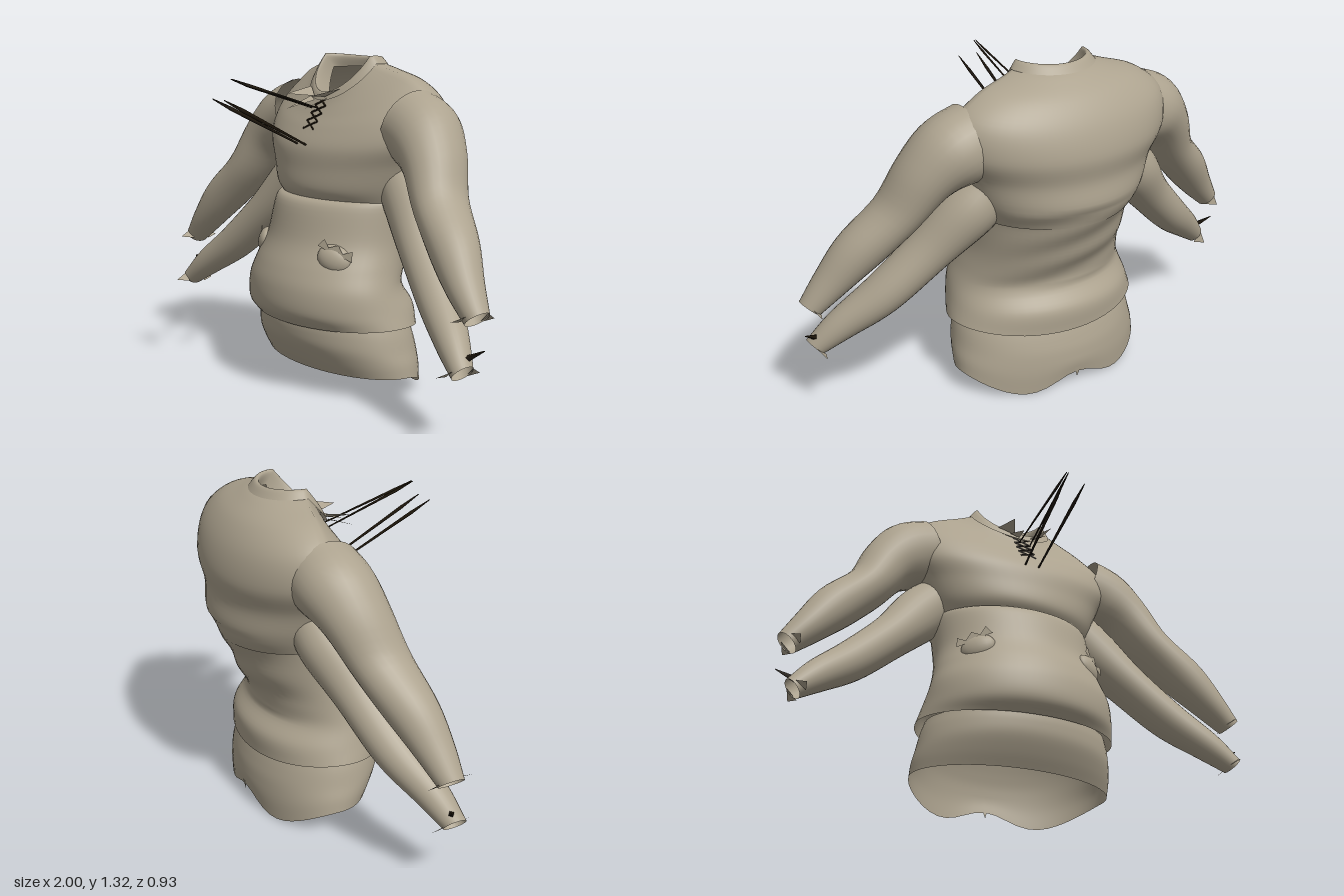
import * as THREE from 'three';

const cloth = new THREE.MeshStandardMaterial({ color: 0xada38f, side: THREE.DoubleSide });
cloth.name = 'tan cloth';
const cord = new THREE.MeshStandardMaterial({ color: 0x1e160a });
cord.name = 'dark cord';

// Smoothly resample rows of up to six numbers
function resample(rows, steps) {
  const curve = (o) => new THREE.CatmullRomCurve3(
    rows.map((r) => new THREE.Vector3(r[o], r[o + 1], r[o + 2] ?? 0)), false, 'catmullrom', 0.5);
  const a = curve(0), b = curve(3), out = [];
  for (let i = 0; i <= steps; i++) {
    const p = a.getPoint(i / steps), q = b.getPoint(i / steps);
    out.push([p.x, p.y, p.z, q.x, q.y, q.z]);
  }
  return out;
}

// Open skin through closed rings; point(row, angle, index) returns [x, y, z], cut(p) marks holes
function skin(name, rows, point, segs, cut = () => false) {
  const pts = [], idx = [];
  rows.forEach((row, i) => {
    for (let j = 0; j < segs; j++) pts.push(point(row, (j / segs) * Math.PI * 2, i));
  });
  for (let i = 0; i < rows.length - 1; i++) {
    for (let j = 0; j < segs; j++) {
      const a = i * segs + j, b = i * segs + ((j + 1) % segs), c = a + segs, d = b + segs;
      if (![a, b, c, d].every((k) => cut(pts[k]))) idx.push(a, b, c, b, d, c);
    }
  }
  const g = new THREE.BufferGeometry();
  g.setAttribute('position', new THREE.Float32BufferAttribute(pts.flat(), 3));
  g.setIndex(idx);
  g.computeVertexNormals();
  const m = new THREE.Mesh(g, cloth);
  m.name = name;
  return m;
}

// Body ring: [yFront, ySide, yBack, halfWidth, zFront, zBack]
function bodyPoint([yF, yS, yB, w, zF, zB], a) {
  const s = Math.sin(a), c = Math.cos(a), x = w * c;
  let y = s > 0 ? yS + (yF - yS) * s : yS + (yB - yS) * s * s;
  // soft folds across the lower back, and a lifted middle of the back hem
  const fold = s < 0 && y > 0.42 && y < 0.8 ? 0.006 * Math.sin(y * 42 + c * 3) * s * s : 0;
  if (s < 0) y += 0.09 * Math.max(0, (0.12 - y) / 0.15) * Math.exp(-((x / 0.17) ** 2));
  return [x, y, (zF + zB) / 2 + ((zF - zB) / 2) * s + fold];
}
const body = (name, rows, steps, cut) => skin(name, resample(rows, steps), bodyPoint, 56, cut);

// Armholes where the sleeves join the chest: [y, z, y radius, z radius]
const holes = [[1.03, -0.17, 0.125, 0.12], [0.80, -0.17, 0.08, 0.085]];
const inArmhole = ([x, y, z]) => Math.abs(x) > 0.3 &&
  holes.some(([hy, hz, ry, rz]) => Math.hypot((y - hy) / ry, (z - hz) / rz) < 1);

// Sleeve ring: [x, y, z, radius in the arm's plane, radius in z]
function sleeve(name, rows, side) {
  const R = resample(rows, 28).map((r) => [r[0] * side, ...r.slice(1)]);
  return skin(name, R, (r, a, i) => {
    const p = R[Math.max(i - 1, 0)], q = R[Math.min(i + 1, R.length - 1)];
    const tx = q[0] - p[0], ty = q[1] - p[1], l = Math.hypot(tx, ty);
    const n = Math.cos(a) * r[3];
    return [r[0] - (ty / l) * n, r[1] + (tx / l) * n, r[2] + Math.sin(a) * r[4]];
  }, 28);
}

// Thin four-sided strand between two points
function strand(name, a, b, r0, r1) {
  const A = new THREE.Vector3(...a), B = new THREE.Vector3(...b), d = B.clone().sub(A);
  const m = new THREE.Mesh(new THREE.CylinderGeometry(r1, r0, d.length(), 4), cord);
  m.position.copy(A).add(B).multiplyScalar(0.5);
  m.quaternion.setFromUnitVectors(new THREE.Vector3(0, 1, 0), d.normalize());
  m.name = name;
  return m;
}

// Flat cloth triangle
function flap(name, pts) {
  const g = new THREE.BufferGeometry();
  g.setAttribute('position', new THREE.Float32BufferAttribute(pts.flat(), 3));
  g.computeVertexNormals();
  const m = new THREE.Mesh(g, cloth);
  m.name = name;
  return m;
}

export function createModel() {
  const model = new THREE.Group();
  model.name = 'fourArmedShirt';

  // Chest and shoulders
  model.add(body('chest', [
    [1.15, 1.29, 1.29, 0.15, -0.02, -0.25],
    [1.12, 1.27, 1.26, 0.22, -0.005, -0.31],
    [1.08, 1.23, 1.20, 0.35, 0.02, -0.385],
    [1.03, 1.15, 1.11, 0.45, 0.055, -0.44],
    [0.96, 1.03, 1.00, 0.465, 0.093, -0.465],
    [0.88, 0.92, 0.90, 0.41, 0.105, -0.45],
    [0.80, 0.82, 0.80, 0.37, 0.11, -0.455],
    [0.75, 0.74, 0.72, 0.335, 0.08, -0.415],
  ], 42, inArmhole));

  // Collar: inner lining, rolled rim and outer edge
  model.add(body('collar', [
    [1.10, 1.26, 1.265, 0.14, -0.10, -0.24],
    [1.165, 1.305, 1.30, 0.143, -0.03, -0.243],
    [1.17, 1.315, 1.305, 0.155, -0.015, -0.26],
    [1.14, 1.285, 1.275, 0.18, 0.0, -0.285],
  ], 15));

  // Belly layer with a flared hem
  model.add(body('bellyLayer', [
    [0.77, 0.77, 0.74, 0.335, 0.08, -0.425],
    [0.74, 0.74, 0.70, 0.335, 0.13, -0.405],
    [0.60, 0.60, 0.60, 0.333, 0.172, -0.362],
    [0.50, 0.50, 0.50, 0.352, 0.22, -0.315],
    [0.42, 0.42, 0.42, 0.375, 0.245, -0.295],
    [0.33, 0.34, 0.34, 0.395, 0.245, -0.345],
    [0.275, 0.28, 0.245, 0.412, 0.20, -0.345],
  ], 36));

  // Lower skirt of the shirt
  model.add(body('lowerSkirt', [
    [0.29, 0.29, 0.26, 0.375, 0.187, -0.32],
    [0.25, 0.24, 0.20, 0.39, 0.188, -0.338],
    [0.20, 0.18, 0.14, 0.402, 0.18, -0.35],
    [0.14, 0.13, 0.05, 0.412, 0.15, -0.352],
    [0.085, 0.08, -0.06, 0.415, 0.115, -0.345],
  ], 20));
  model.add(flap('hemTab', [[-0.015, 0.07, -0.352], [0.015, 0.07, -0.352], [0, 0.025, -0.345]]));

  for (const s of [1, -1]) {
    const side = s > 0 ? 'left' : 'right';

    // Upper and lower sleeves
    model.add(sleeve(side + 'UpperSleeve', [
      [0.36, 1.06, -0.175, 0.146, 0.148],
      [0.46, 1.02, -0.165, 0.142, 0.15],
      [0.55, 0.94, -0.135, 0.112, 0.135],
      [0.645, 0.80, -0.085, 0.088, 0.118],
      [0.78, 0.665, -0.035, 0.088, 0.10],
      [0.88, 0.55, 0.0, 0.067, 0.075],
      [0.965, 0.455, 0.02, 0.045, 0.05],
    ], s));
    model.add(sleeve(side + 'LowerSleeve', [
      [0.31, 0.85, -0.175, 0.108, 0.11],
      [0.40, 0.76, -0.155, 0.11, 0.115],
      [0.53, 0.62, -0.10, 0.088, 0.10],
      [0.70, 0.46, -0.04, 0.078, 0.09],
      [0.84, 0.35, 0.02, 0.062, 0.068],
      [0.94, 0.264, 0.06, 0.04, 0.045],
    ], s));

    // Loose cuff tabs and the cord end at the lower wrist
    for (const [x, y, z] of [[0.955, 0.455, 0.02], [0.93, 0.26, 0.06]]) {
      const n = side + 'CuffTab';
      model.add(flap(n, [[s * (x - 0.03), y - 0.01, z + 0.04], [s * (x + 0.01), y + 0.02, z + 0.045],
        [s * (x - 0.015), y, z + 0.1]]));
      model.add(flap(n, [[s * (x - 0.02), y - 0.02, z - 0.04], [s * (x + 0.02), y + 0.02, z - 0.04],
        [s * x, y - 0.01, z - 0.09]]));
    }
    model.add(strand(side + 'WristCord', [s * 0.925, 0.305, 0.05], [s * 0.995, 0.35, 0.01], 0.016, 0.002));

    // Drooping gathered pocket with a ruffled mouth
    const pocket = new THREE.Group();
    pocket.name = side + 'Pocket';
    const pouch = new THREE.Mesh(new THREE.SphereGeometry(1, 20, 12), cloth);
    pouch.scale.set(0.07, 0.055, 0.035);
    pocket.add(pouch);
    for (let i = 0; i < 4; i++) {
      const x = (i - 1.5) * 0.03;
      pocket.add(flap('pocketRuffle', [[x - 0.03, 0.025, 0.025], [x + 0.03, 0.02, 0.025],
        [x + (i % 2 ? 0.015 : -0.015), 0.06, 0.03]]));
    }
    pocket.position.set(s * 0.24, 0.55, 0.1);
    pocket.rotation.set(-0.2, s * 0.67, -s * 0.25);
    model.add(pocket);

    // Collar points
    model.add(flap(side + 'CollarPoint', [[s * 0.035, 1.155, 0.0], [s * 0.1, 1.19, -0.03], [s * 0.085, 1.165, 0.1]]));
    model.add(flap(side + 'CollarPoint', [[s * 0.02, 1.14, 0.01], [s * 0.06, 1.155, 0.0], [s * 0.05, 1.11, 0.12]]));

    // Long loose lace ends
    model.add(strand(side + 'LongLace', [s * 0.03, 0.97, 0.085], [s * 0.04, 1.12, 0.38], 0.004, 0.008));
    model.add(strand(side + 'LongLaceTip', [s * 0.04, 1.12, 0.38], [s * 0.043, 1.163, 0.463], 0.008, 0.002));
    model.add(strand(side + 'ShortLace', [s * 0.025, 1.11, 0.02], [s * 0.008, 1.21, 0.33], 0.003, 0.006));
    model.add(strand(side + 'ShortLaceTip', [s * 0.008, 1.21, 0.33], [s * 0.004, 1.237, 0.405], 0.006, 0.002));

    // Crossed lacing down the chest
    const z = (y) => 0.075 - (y - 1) * 0.65;
    for (let i = 0; i < 4; i++) {
      const y = 1.03 + i * 0.03;
      model.add(strand('crossLace', [-s * 0.035, y, z(y)], [s * 0.035, y + 0.03, z(y + 0.03)], 0.004, 0.004));
    }
  }
  return model;
}
